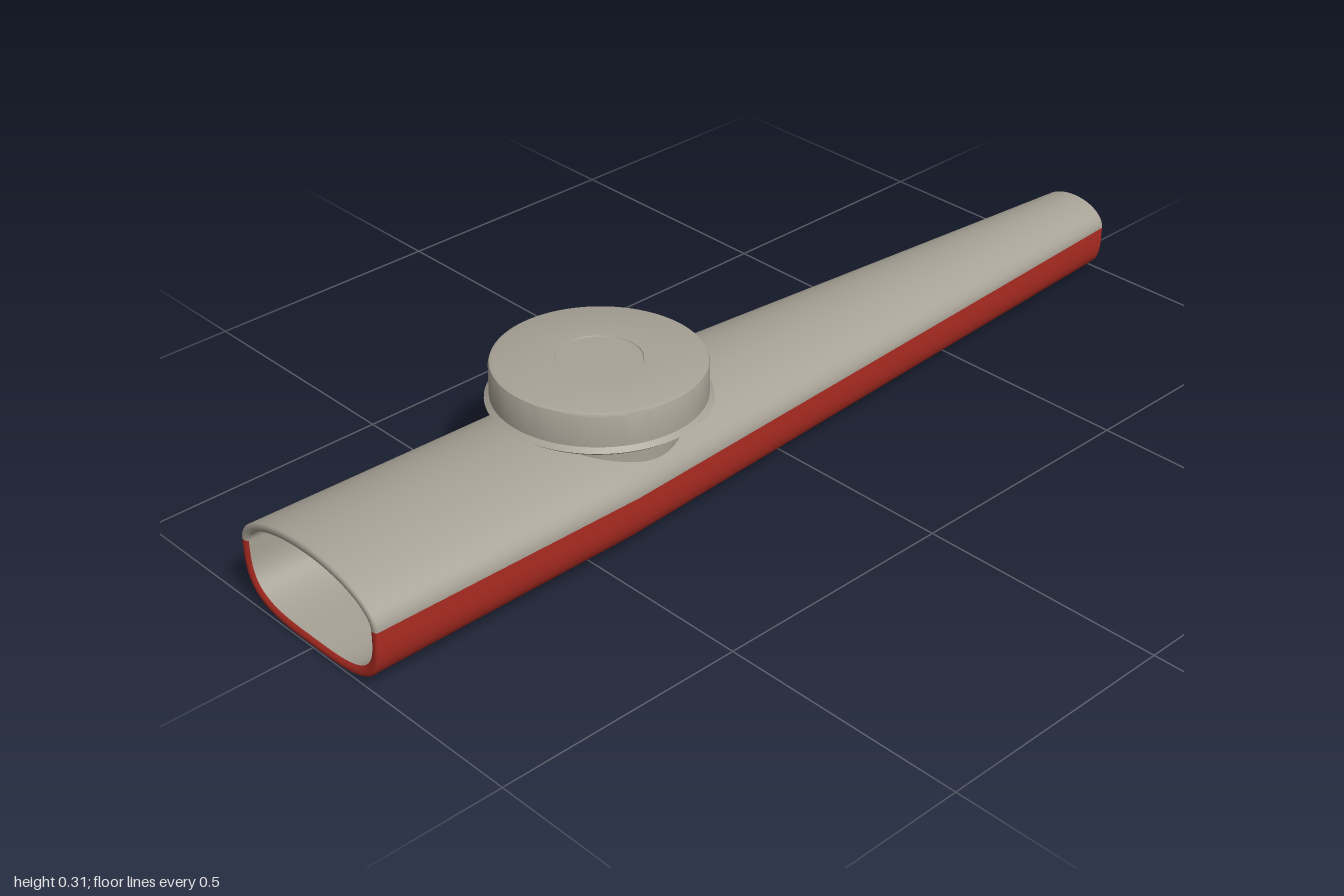
import * as THREE from 'three';
import { toCreasedNormals } from 'three/addons/utils/BufferGeometryUtils.js';

const lerp = THREE.MathUtils.lerp;

// Half width, height and colour split line of the tube at depth z
function size(z) {
  const knee = 0.42;
  const back = z < knee;
  const k = back ? (z + 1) / (knee + 1) : (z - knee) / (1 - knee);
  return {
    w: back ? lerp(0.08, 0.184, k) : lerp(0.184, 0.19, k),
    h: back ? lerp(0.15, 0.203, k) : lerp(0.203, 0.21, k),
    split: lerp(0.1, 0.13, (z + 1) / 2),
  };
}

// Point on the cross-section: arched above the split, squarer below it
function sectionPoint(z, inset, t) {
  const { w, h, split } = size(z);
  const c = Math.cos(t), s = Math.sin(t);
  const p = s >= 0 ? 1 : 2 / 3.5;
  const x = (w - inset) * Math.sign(c) * Math.abs(c) ** p;
  const y = split + ((s >= 0 ? h - split : split) - inset) * Math.sign(s) * Math.abs(s) ** p;
  return new THREE.Vector3(x, y, z);
}

// Surface swept through [z, inset] stations over the angles t0..t1
function strip(stations, t0, t1, steps = 64) {
  const pos = [], idx = [], row = steps + 1;
  stations.forEach(([z, inset], j) => {
    for (let i = 0; i <= steps; i++) {
      pos.push(...sectionPoint(z, inset, lerp(t0, t1, i / steps)).toArray());
      if (j && i) {
        const d = j * row + i, c = d - 1, b = d - row, a = b - 1;
        idx.push(a, b, c, b, d, c);
      }
    }
  });
  const g = new THREE.BufferGeometry();
  g.setAttribute('position', new THREE.Float32BufferAttribute(pos, 3));
  g.setIndex(idx);
  g.computeVertexNormals();
  return g;
}

export function createModel() {
  const root = new THREE.Group();
  const grey = new THREE.MeshStandardMaterial({ color: 0xa8a296 });
  grey.name = 'warm grey';
  const red = new THREE.MeshStandardMaterial({ color: 0xac2c22 });
  red.name = 'red';
  const greyOpen = grey;
  const add = (name, geometry, material, parent = root) => {
    const mesh = new THREE.Mesh(geometry, material);
    mesh.name = name;
    parent.add(mesh);
    return mesh;
  };

  // Tapered tube: outside, rounded end rims, and the bore
  const wall = 0.018, bevel = 0.004;
  const outside = [-1 + bevel, -0.5, 0, 0.3, 0.38, 0.42, 0.46, 0.54, 0.8, 1 - bevel].map((z) => [z, 0]);
  const frontRim = [[1 - bevel, 0], [1 - bevel * 0.3, 0.002], [1, 0.006], [1, 0.012], [1 - bevel, wall]];
  const backRim = [[-1 + bevel, 0.014], [-1, 0.009], [-1, 0.004], [-1 + bevel * 0.3, 0.0015], [-1 + bevel, 0]];
  const halves = [
    ['upperShell', 0, Math.PI, grey],
    ['lowerShell', Math.PI, 2 * Math.PI, red],
  ];
  for (const [name, t0, t1, material] of halves) {
    add(name, strip(outside, t0, t1), material);
    add(name + 'FrontRim', strip(frontRim, t0, t1), material);
    add(name + 'BackRim', strip(backRim, t0, t1), material);
    const bore = [[1 - bevel, wall], [0.42, wall], [-1 + bevel, 0.014]];
    add(name + 'Bore', strip(bore, t0, t1), greyOpen);
  }

  // Wall closing the bore, visible from both ends
  const outline = [];
  for (let i = 0; i < 96; i++) {
    const p = sectionPoint(0.75, 0.015, (i / 96) * 2 * Math.PI);
    outline.push(new THREE.Vector2(p.x, p.y));
  }
  const plate = new THREE.ExtrudeGeometry(new THREE.Shape(outline), { depth: 0.006, bevelEnabled: false });
  add('innerWall', plate, grey).position.z = 0.745;

  // Round turret: neck, flared flange, drum and a shallow recess on the cap
  const turret = new THREE.Group();
  turret.name = 'turret';
  turret.position.set(0, 0.2, 0.35);
  turret.rotation.x = -0.027;
  root.add(turret);
  const turn = (points, crease = 0.45) => toCreasedNormals(
    new THREE.LatheGeometry(points.map(([r, y]) => new THREE.Vector2(r, y)), 96), crease);
  add('turretNeck', turn([[0.155, -0.075], [0.155, 0.03]]), grey, turret);
  add('turretDrum', turn([
    [0.15, 0.018], [0.19, 0.015], [0.198, 0.018], [0.207, 0.025], [0.198, 0.033],
    [0.198, 0.092], [0.196, 0.097], [0.189, 0.1], [0.08, 0.1], [0.079, 0.098], [0, 0.098],
  ]), grey, turret);
  return root;
}
